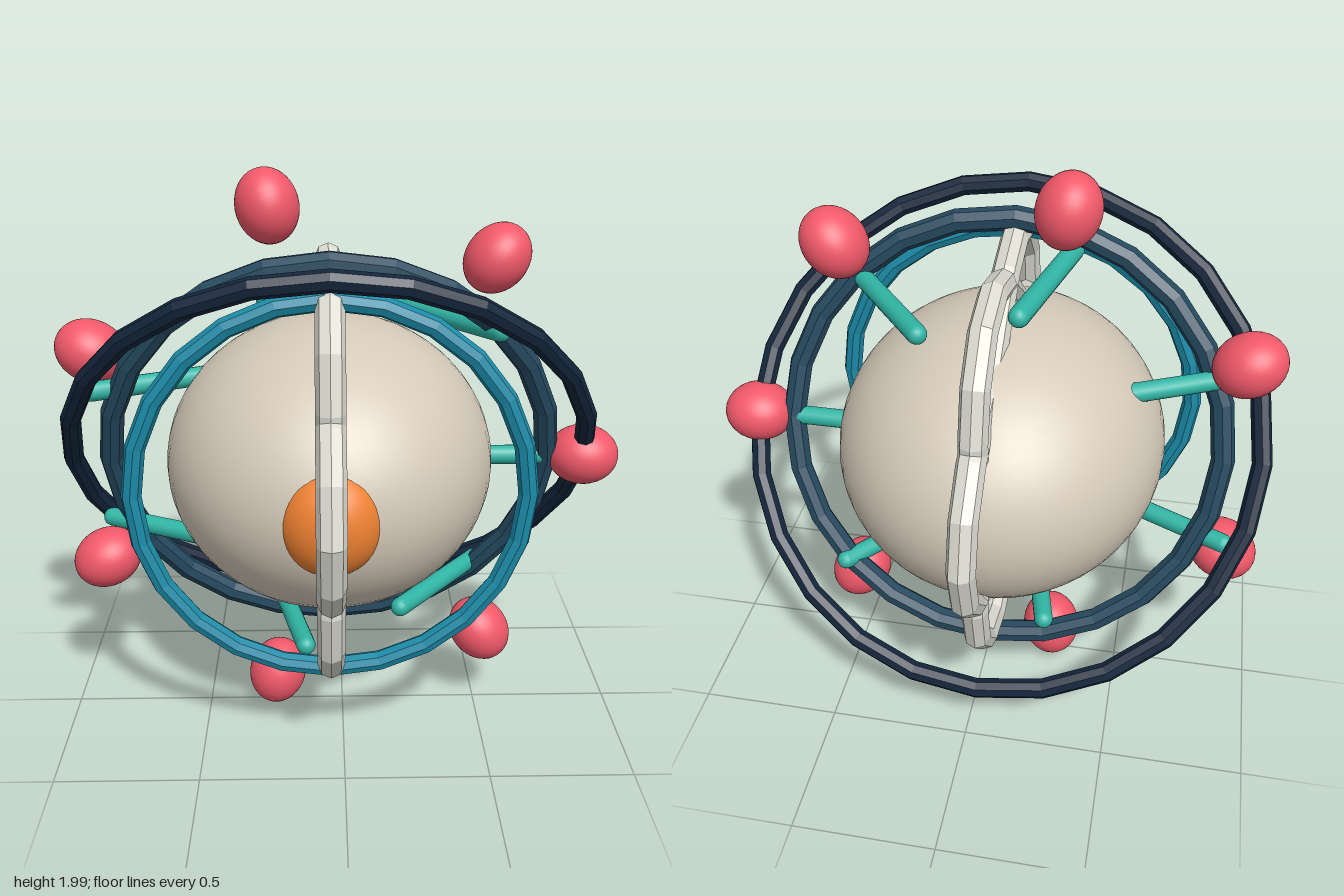
import * as THREE from 'three';

const mat = (color, flatShading = false) => new THREE.MeshStandardMaterial({ color, flatShading });

function add(parent, name, geometry, material, x = 0, y = 0, z = 0) {
  const mesh = new THREE.Mesh(geometry, material);
  mesh.name = name;
  mesh.position.set(x, y, z);
  parent.add(mesh);
  return mesh;
}

// Closed wavy loop in the YZ plane, three lobes around the core
class WavyLoop extends THREE.Curve {
  constructor(sign) {
    super();
    this.sign = sign;
  }
  getPoint(t, target = new THREE.Vector3()) {
    const a = t * Math.PI * 2;
    const r = 0.605 + this.sign * 0.12 * Math.cos(3 * a);
    return target.set(0, r * Math.sin(a), r * Math.cos(a));
  }
}

export function createModel() {
  const model = new THREE.Group();
  model.name = 'ringedCore';
  const hub = new THREE.Group();
  hub.name = 'hub';
  hub.position.set(-0.045, 1, 0);
  model.add(hub);

  // Egg-like core and the eye at its front
  add(hub, 'core', new THREE.SphereGeometry(1, 48, 32), mat(0xd6cbba)).scale.set(0.565, 0.5, 0.63);
  add(hub, 'eye', new THREE.SphereGeometry(1, 32, 24), mat(0xf08232), 0, 0, 0.55).scale.set(0.165, 0.178, 0.13);

  // Tilted rings: name, radius, tube, tilt, z, color
  const rings = [
    ['innerRing', 0.645, 0.034, 0, 0.345, 0x1b8ba8],
    ['middleRing', 0.765, 0.041, 0.3, 0, 0x25495f],
    ['outerRing', 0.897, 0.035, 0.6, 0, 0x14263c],
  ];
  for (const [name, radius, tube, tilt, z, color] of rings) {
    const ring = add(hub, name, new THREE.TorusGeometry(radius, tube, 8, 24), mat(color, true), 0, 0, z);
    ring.rotation.x = tilt;
  }

  // Two interlaced wavy bands
  const bandMat = mat(0xdcdcd2, true);
  for (const sign of [1, -1]) {
    add(hub, 'wavyBand', new THREE.TubeGeometry(new WavyLoop(sign), 24, 0.047, 8, true), bandMat);
  }

  // Seven pods with horizontal struts spaced evenly around the core
  const podGeo = new THREE.SphereGeometry(1, 32, 20);
  const strutGeo = new THREE.CapsuleGeometry(0.034, 0.49, 6, 14);
  const podMat = mat(0xf2596a);
  const strutMat = mat(0x30b5a5);
  for (let i = 0; i < 7; i++) {
    const a = (i * Math.PI * 2) / 7;
    const c = Math.cos(a), s = Math.sin(a);
    const pod = add(hub, 'pod', podGeo, podMat, c * 0.895, s * 0.895, 0);
    pod.scale.set(0.125, 0.105, 0.115);
    pod.rotation.z = a;
    const strut = add(hub, 'strut', strutGeo, strutMat, c * 0.64, s * 0.64, 0);
    strut.quaternion.setFromUnitVectors(new THREE.Vector3(0, 1, 0), new THREE.Vector3(c, 0, s));
  }
  return model;
}
